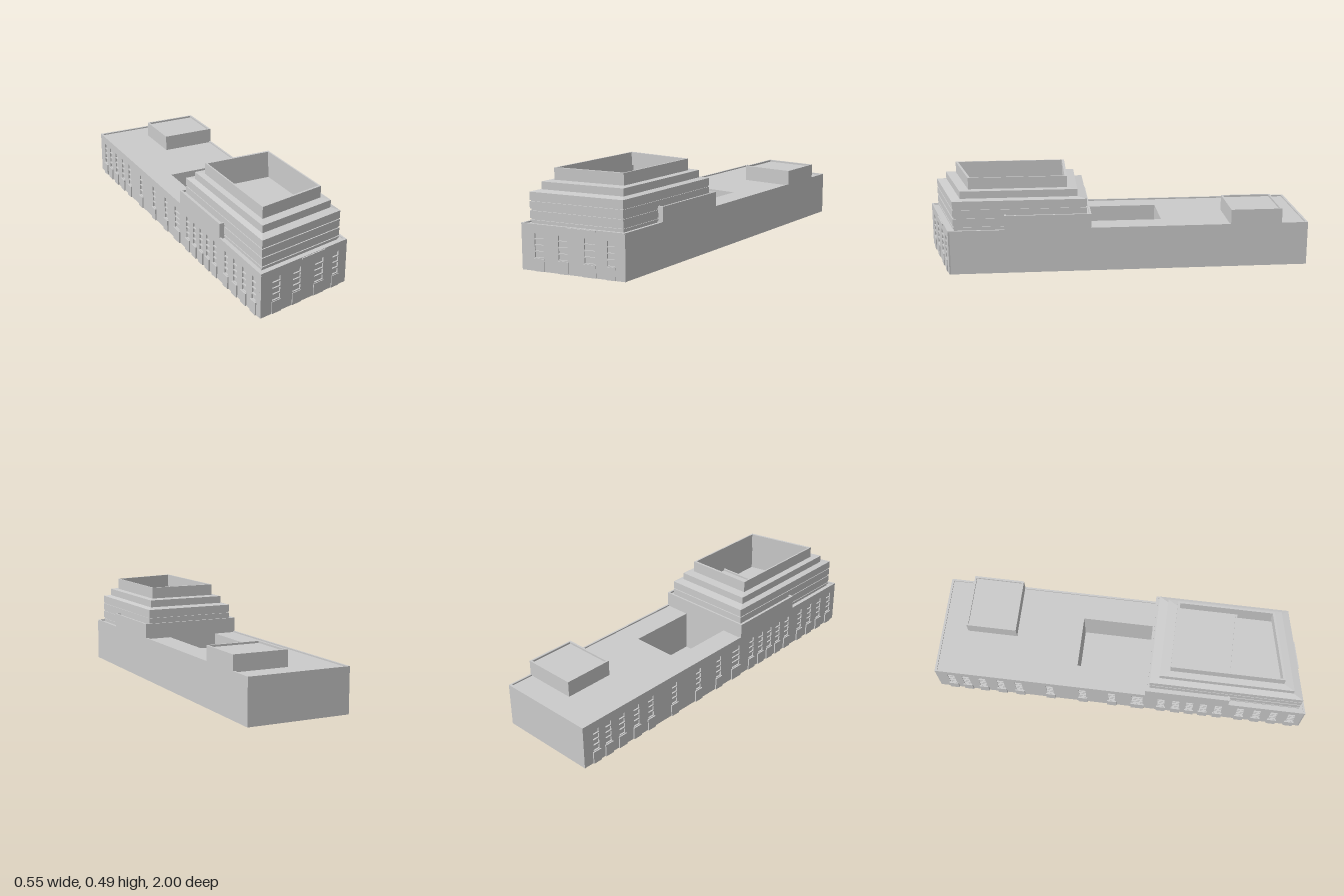
import * as THREE from 'three';

const SLOPE = 0.226; // skew of the front facade
const XL = -0.27, XR = 0.274, FRONT = 0.937;
const material = new THREE.MeshStandardMaterial({ color: 0xcccccc, flatShading: true, side: THREE.DoubleSide });

// Plan outline with a skewed front, and a plain rectangle
const plan = (xl, xr, zb, c) => [[xl, zb], [xr, zb], [xr, c - SLOPE * xr], [xl, c - SLOPE * xl]];
const rect = (xl, xr, zb, zf) => [[xl, zb], [xr, zb], [xr, zf], [xl, zf]];
const toPoints = (pts) => pts.map(([x, z]) => new THREE.Vector2(x, -z));

export function createModel() {
  const model = new THREE.Group();
  model.name = 'building';

  const add = (name, geometry) => {
    const mesh = new THREE.Mesh(geometry, material);
    mesh.name = name;
    model.add(mesh);
    return mesh;
  };

  // Vertical prism over a plan outline, optionally with one hole
  const prism = (name, outline, y0, y1, hole) => {
    const shape = new THREE.Shape(toPoints(outline));
    if (hole) shape.holes.push(new THREE.Path(toPoints(hole)));
    const g = new THREE.ExtrudeGeometry(shape, { depth: y1 - y0, bevelEnabled: false });
    g.rotateX(-Math.PI / 2).translate(0, y0, 0);
    return add(name, g);
  };

  // Wall skin with four rows of window openings per column [centre, width]
  const rows = [0.068, 0.1, 0.131, 0.162];
  const windowWall = (name, u0, u1, columns) => {
    const shape = new THREE.Shape([[u0, 0], [u1, 0], [u1, 0.225], [u0, 0.225]].map((p) => new THREE.Vector2(...p)));
    for (const [u, w] of columns) {
      for (const y of rows) {
        const corners = [[u - w / 2, y], [u - w / 2, y + 0.025], [u + w / 2, y + 0.025], [u + w / 2, y]];
        shape.holes.push(new THREE.Path(corners.map((p) => new THREE.Vector2(...p))));
      }
    }
    return add(name, new THREE.ExtrudeGeometry(shape, { depth: 0.008, bevelEnabled: false }));
  };

  // Main block with a deep light court
  const core = plan(XL + 0.008, XR, -1, FRONT - 0.0082);
  prism('groundSlab', core, 0, 0.01);
  prism('mainBlock', core, 0.01, 0.225, rect(-0.145, 0.13, -0.24, 0.14));
  prism('roofParapet', plan(XL, XR, -1, FRONT), 0.225, 0.232, [
    [XL + 0.01, -0.988], [XR - 0.01, -0.988],
    [XR - 0.01, FRONT - 0.012 - SLOPE * XR], [XL + 0.01, FRONT - 0.012 - SLOPE * XL],
  ]);

  // Front facade: window columns, door surrounds and a thin canopy
  const front = new THREE.Group();
  front.name = 'frontFacade';
  front.rotation.y = Math.atan(SLOPE);
  front.position.z = FRONT - 0.0082;
  model.add(front);
  const k = Math.hypot(1, SLOPE);
  const frontColumns = [[-0.176, 0.048], [-0.049, 0.048], [0.092, 0.056], [0.201, 0.038]].map(([x, w]) => [x * k, w * k]);
  front.add(windowWall('frontWall', XL * k, XR * k, frontColumns));
  for (const [u, w] of frontColumns) {
    const door = add('frontDoorSurround', new THREE.BoxGeometry(w + 0.008, 0.063, 0.004));
    door.position.set(u, 0.0315, 0.01);
    front.add(door);
  }
  const canopy = add('frontCanopy', new THREE.BoxGeometry(0.15, 0.008, 0.006));
  canopy.position.set(0.055, 0.226, 0.011);
  front.add(canopy);

  // Long side facade on the model's right
  const sideColumns = [-0.92, -0.84, -0.75, -0.65, -0.55, -0.38, -0.2, -0.04, 0.1, 0.23, 0.31, 0.385,
    0.46, 0.54, 0.66, 0.75, 0.84, 0.935].map((z) => [z, z === 0.1 ? 0.06 : 0.038]);
  const side = windowWall('sideWall', -1, 0.99, sideColumns);
  side.rotation.y = -Math.PI / 2;
  side.position.x = XL + 0.008;
  for (const [z, w] of sideColumns) {
    add('sideDoorSurround', new THREE.BoxGeometry(0.007, 0.065, w + 0.012)).position.set(XL - 0.0035, 0.0325, z);
  }

  // Flat-roofed volume with a thin parapet
  const raisedBlock = (name, x0, x1, z0, z1, top) => {
    prism(name, rect(x0, x1, z0, z1), 0.225, top - 0.01);
    prism(name + 'Parapet', rect(x0, x1, z0, z1), top - 0.01, top,
      rect(x0 + 0.01, x1 - 0.01, z0 + 0.01, z1 - 0.01));
  };
  raisedBlock('raisedTerrace', XL, XR, 0.14, 0.587, 0.307);
  raisedBlock('roofPenthouse', -0.017, XR, -0.86, -0.59, 0.309);

  // Hollow stepped tower: closed profile of [inset, height] swept round the skewed plan
  const profile = [
    [0.004, 0.225], [0.004, 0.235], [0, 0.235], [0, 0.243], [0.004, 0.243], [0.004, 0.25],
    [0, 0.25], [0, 0.288], [0.004, 0.288], [0.004, 0.297],
    [0, 0.297], [0, 0.334], [0.004, 0.334], [0.004, 0.34],
    [0, 0.34], [0, 0.38], [0.03, 0.387], [0.03, 0.425], [0.062, 0.428], [0.062, 0.488],
    [0.07, 0.488], [0.07, 0.42], [0.038, 0.417], [0.038, 0.379], [0.009, 0.372], [0.009, 0.225],
  ];
  const frames = profile.map(([d, y]) =>
    plan(d - 0.245, 0.245 - d, 0.16 + 1.6 * d, 0.905 - 1.55 * d).map(([x, z]) => [x, y, z]));
  const positions = [];
  for (let i = 0; i < frames.length; i++) {
    const lower = frames[i], upper = frames[(i + 1) % frames.length];
    for (let j = 0; j < 4; j++) {
      const n = (j + 1) % 4;
      for (const p of [lower[j], upper[j], upper[n], lower[j], upper[n], lower[n]]) positions.push(...p);
    }
  }
  const tower = new THREE.BufferGeometry();
  tower.setAttribute('position', new THREE.Float32BufferAttribute(positions, 3));
  tower.computeVertexNormals();
  add('steppedTower', tower);

  return model;
}
